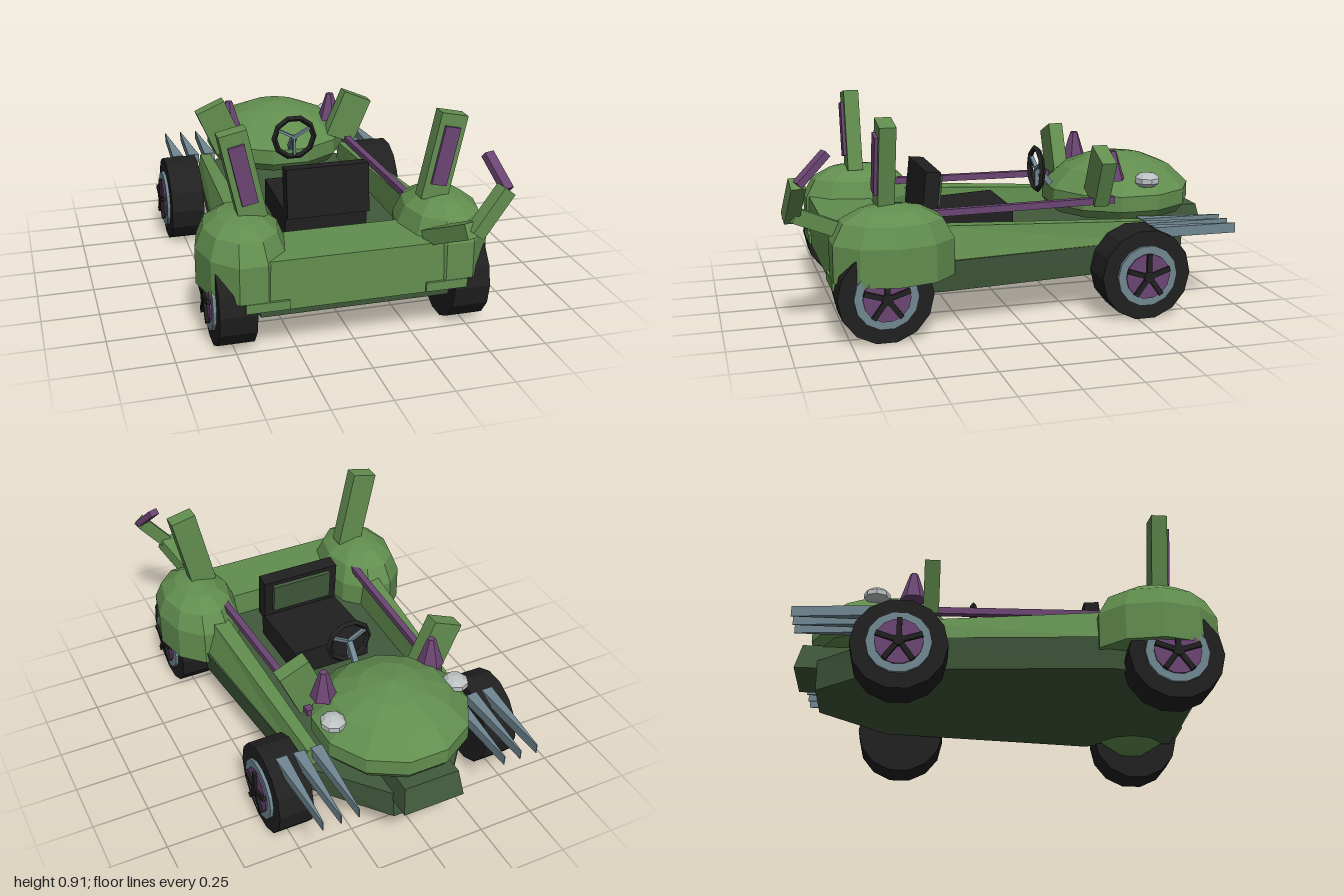
import * as THREE from 'three';

const mat = (name, color) => Object.assign(new THREE.MeshStandardMaterial({ color }), { name });

// Faceted normals for the low-poly look
function flat(geo) {
  const g = geo.index ? geo.toNonIndexed() : geo;
  g.computeVertexNormals();
  return g;
}

// Solid from rings of [x, y, z], counter-clockwise seen from the last ring's end
function loft(rings) {
  const n = rings[0].length, idx = [];
  const geo = new THREE.BufferGeometry();
  geo.setAttribute('position', new THREE.Float32BufferAttribute(rings.flat(2), 3));
  for (let i = 0; i < rings.length - 1; i++) {
    for (let j = 0; j < n; j++) {
      const a = i * n + j, b = i * n + (j + 1) % n;
      idx.push(a, b, a + n, b, b + n, a + n);
    }
  }
  const t = (rings.length - 1) * n;
  for (let j = 1; j < n - 1; j++) idx.push(0, j + 1, j, t, t + j, t + j + 1);
  geo.setIndex(idx);
  return geo;
}

// Lathe dome from [radius, y] pairs
const dome = (pts, sides, turn = 0) =>
  new THREE.LatheGeometry(pts.map(p => new THREE.Vector2(...p)), sides, turn);

export function createModel() {
  const green = mat('body green', 0x628e4f);
  const darkGreen = mat('chassis dark green', 0x415a3c);
  const purple = mat('purple', 0x6b4573);
  const black = mat('black', 0x202020);
  const steel = mat('steel', 0x708791);
  const lamp = mat('lamp white', 0xbcc2c2);

  const model = new THREE.Group();
  function add(name, geo, material, x = 0, y = 0, z = 0, parent = model) {
    const m = new THREE.Mesh(flat(geo), material);
    m.name = name;
    m.position.set(x, y, z);
    parent.add(m);
    return m;
  }
  const box = (w, h, d) => new THREE.BoxGeometry(w, h, d);

  // Box beam between two points
  function bar(name, from, to, w, h, material) {
    const a = new THREE.Vector3(...from), b = new THREE.Vector3(...to);
    const m = add(name, box(w, h, a.distanceTo(b)), material);
    m.position.copy(a).add(b).multiplyScalar(0.5);
    m.lookAt(b);
    return m;
  }

  // Symmetric plan outline at height y, from right-half points [x, z]
  const plan = (y, half) => [
    ...half.map(([x, z]) => [x, y, z]),
    ...half.slice().reverse().map(([x, z]) => [-x, y, z]),
  ];

  // Dark chassis tray and nose, light rear deck
  add('chassis', loft([
    plan(0.168, [[0.4, 0.77], [0.47, 0.35], [0.38, -0.6], [0.13, -0.9]]),
    plan(0.305, [[0.44, 0.785], [0.492, 0.35], [0.4, -0.6], [0.14, -0.9]]),
  ]), darkGreen);
  add('nose', loft([
    plan(0.27, [[0.14, -0.7], [0.14, -1]]),
    plan(0.385, [[0.125, -0.7], [0.125, -0.97]]),
  ]), darkGreen);
  add('rearDeck', loft([
    plan(0.205, [[0.41, 0.8], [0.46, 0.52]]),
    plan(0.42, [[0.42, 0.795], [0.44, 0.52]]),
  ]), green);

  // Hood dome over the front
  const hood = add('hood', dome([[0, 0.38], [0.31, 0.38], [0.34, 0.42], [0.34, 0.49],
    [0.25, 0.575], [0.14, 0.62], [0, 0.642]], 12, Math.PI / 12), green, 0, 0, -0.605);
  hood.scale.z = 1.01;

  // Seat
  const cushion = add('seatCushion', box(0.37, 0.12, 0.38), black, 0, 0.372, 0.14);
  cushion.rotation.x = 0.05;
  const back = new THREE.Group();
  back.name = 'seatBack';
  back.position.set(0, 0.513, 0.325);
  back.rotation.x = -0.1;
  model.add(back);
  add('backrest', box(0.37, 0.22, 0.068), black, 0, 0, 0, back);
  add('backrestPanel', box(0.29, 0.14, 0.02), darkGreen, 0, 0.02, -0.043, back);

  // Steering wheel, spokes and column
  add('steeringWheel', new THREE.TorusGeometry(0.097, 0.014, 4, 10), black, 0, 0.572, -0.215);
  for (const a of [0.5, Math.PI - 0.5, -Math.PI / 2]) {
    bar('steeringSpoke', [0, 0.572, -0.217],
      [0.09 * Math.cos(a), 0.572 + 0.09 * Math.sin(a), -0.217], 0.018, 0.012, steel);
  }
  bar('steeringColumn', [0, 0.572, -0.22], [0, 0.46, -0.32], 0.025, 0.025, steel);

  // Wheel: tyre, rim, hub disc and five spokes, facing outward on side s
  function wheel(s, z) {
    const g = new THREE.Group();
    g.name = z > 0 ? 'rearWheel' : 'frontWheel';
    g.position.set(s * 0.5, 0.2, z);
    g.rotation.y = s > 0 ? 0 : Math.PI;
    model.add(g);
    const disc = (name, r, x0, x1, m, sides) =>
      add(name, new THREE.CylinderGeometry(r, r, x1 - x0, sides).rotateZ(Math.PI / 2),
        m, (x0 + x1) / 2, 0, 0, g);
    disc('tyre', 0.201, -0.08, 0.076, black, 14);
    disc('rim', 0.135, 0, 0.09, steel, 14);
    disc('hubDisc', 0.1, 0, 0.097, purple, 14);
    disc('hubCap', 0.025, 0, 0.112, black, 8);
    for (let i = 0; i < 5; i++) {
      const a = i * Math.PI * 2 / 5;
      const spoke = add('wheelSpoke', box(0.018, 0.1, 0.022), black,
        0.1, 0.05 * Math.cos(a), 0.05 * Math.sin(a), g);
      spoke.rotation.x = a;
    }
  }

  for (const s of [1, -1]) {
    wheel(s, 0.605);
    wheel(s, -0.535);

    // Sloping cockpit side wall with purple rail
    const ring = (pts) => {
      const r = pts.map(([x, y, z]) => [s * x, y, z]);
      return s > 0 ? r : r.reverse();
    };
    add('sideWall', loft([
      ring([[0.488, 0.3, 0.4], [0.4, 0.3, -0.6], [0.33, 0.3, -0.6], [0.35, 0.3, 0.55]]),
      ring([[0.44, 0.45, 0.4], [0.385, 0.39, -0.6], [0.335, 0.39, -0.6], [0.36, 0.45, 0.55]]),
    ]), green);
    bar('sideRail', [s * 0.345, 0.48, 0.45], [s * 0.312, 0.48, -0.48], 0.03, 0.03, purple);

    // Rounded rear fender with inner housing and lip
    const fender = add('fender', dome([[0, 0.25], [1, 0.25], [1, 0.41], [0.82, 0.495],
      [0.5, 0.54], [0, 0.56]], 10, Math.PI / 10), green, s * 0.435, 0, 0.552);
    fender.scale.set(0.19, 1, 0.268);
    const housing = add('fenderHousing', dome([[0, 0.105], [0.3, 0.11], [1, 0.185], [1, 0.3], [0, 0.3]], 10,
      Math.PI / 10), green, s * 0.42, 0, 0.58);
    housing.scale.set(0.14, 1, 0.175);
    add('fenderLip', box(0.18, 0.04, 0.06), green, s * 0.38, 0.23, 0.78);

    // Tall rear ear with purple inlay
    const ear = new THREE.Group();
    ear.name = 'rearEar';
    ear.position.set(s * 0.428, 0.715, 0.575);
    ear.rotation.z = -s * 0.215;
    model.add(ear);
    add('earPost', box(0.118, 0.38, 0.07), green, 0, 0, 0, ear);
    add('earInlay', box(0.068, 0.255, 0.016), purple, 0, 0.01, 0.041, ear);

    // Short front ear
    const small = add('frontEar', box(0.145, 0.23, 0.068), green, s * 0.322, 0.593, -0.41);
    small.rotation.z = -s * 0.41;

    // Horn and headlight on the hood
    add('horn', new THREE.CylinderGeometry(0.018, 0.06, 0.13, 6), purple, s * 0.256, 0.625, -0.49);
    const light = add('headlight', new THREE.SphereGeometry(0.06, 8, 5), lamp, s * 0.29, 0.555, -0.647);
    light.scale.set(0.95, 0.6, 1);

    // Three tapering claws over the front wheel
    for (const x of [0.34, 0.42, 0.5]) {
      const cx = s * x;
      add('claw', loft([[-0.59, 0.026, 0.395, 0.35], [-0.985, 0.002, 0.385, 0.34]].map(
        ([z, w, top, low]) => [[cx - w, low, z], [cx - w, top, z], [cx + w, top, z], [cx + w, low, z]])),
      steel);
    }
  }

  // Bent tail on the left fender
  bar('tailBase', [0.34, 0.42, 0.72], [0.425, 0.54, 0.965], 0.1, 0.065, green);
  bar('tailMiddle', [0.42, 0.52, 0.965], [0.555, 0.69, 0.945], 0.06, 0.06, green);
  bar('tailTip', [0.56, 0.685, 0.945], [0.52, 0.8, 0.825], 0.045, 0.03, purple);

  return model;
}
